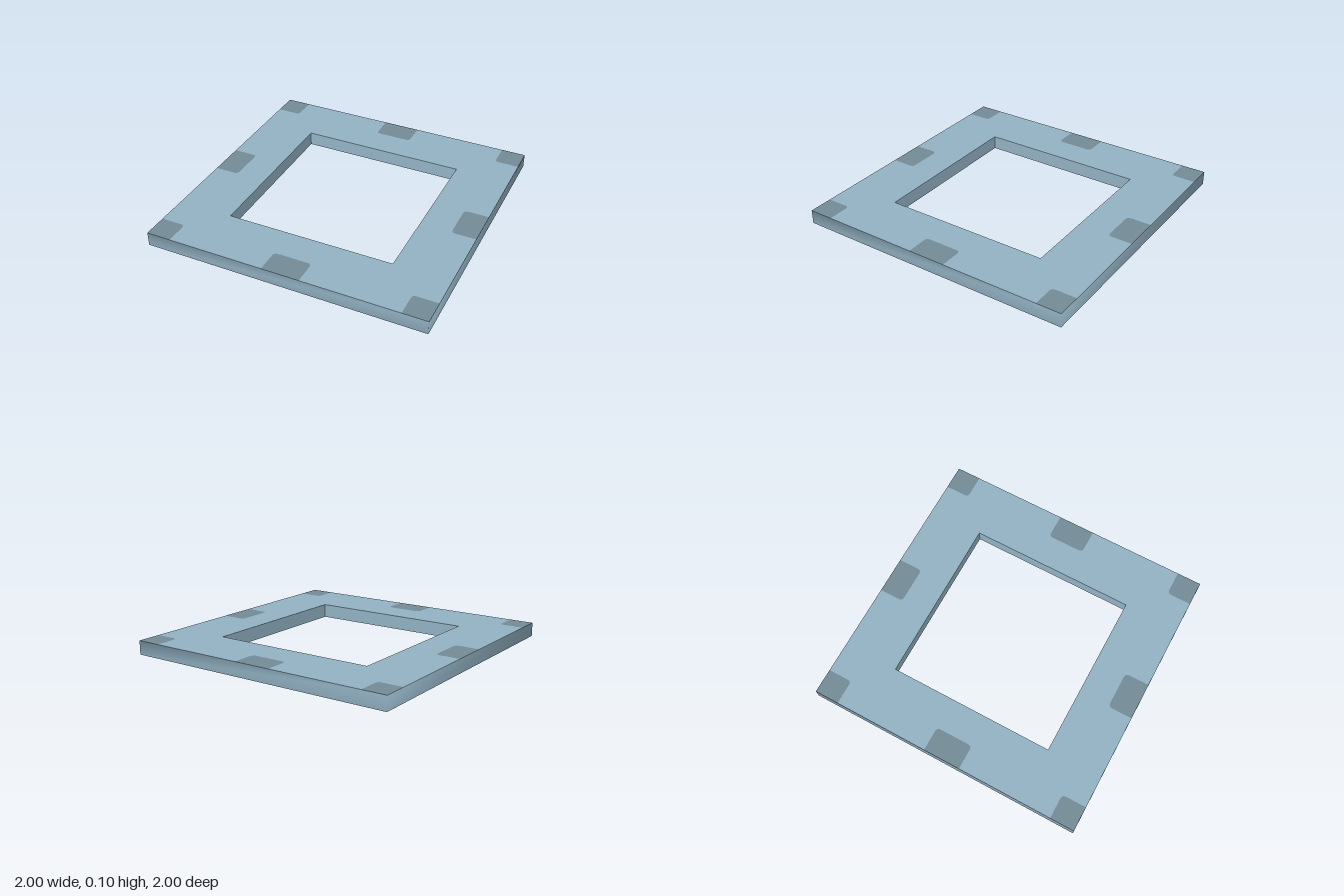
import * as THREE from 'three';

const H = 0.1;        // height of the frame
const OUT = 1;        // half width of the outer edge
const IN = 0.6;       // half width of the opening
const DEPTH = 0.176;  // how far the pads reach in from the edge
const HALF = 0.135;   // half length of the middle pads
const R = 0.03;       // rounding of the pad corners

const mat = (name, color) =>
  new THREE.MeshStandardMaterial({ name, color, side: THREE.DoubleSide });

// Square skirt of four upright walls, open at top and bottom
function skirt(corners, smooth) {
  const pos = [], index = [];
  for (const y of [0, H]) for (const [x, z] of corners) pos.push(x, y, z);
  for (let i = 0; i < 4; i++) {
    const j = (i + 1) % 4;
    index.push(i, j, 4 + j, i, 4 + j, 4 + i);
  }
  let geo = new THREE.BufferGeometry();
  geo.setAttribute('position', new THREE.Float32BufferAttribute(pos, 3));
  geo.setIndex(index);
  if (!smooth) geo = geo.toNonIndexed();
  geo.computeVertexNormals();
  return geo;
}

// Flat sheet lying at the top of the frame
const sheet = (shape) =>
  new THREE.ShapeGeometry(shape, 6).rotateX(-Math.PI / 2).translate(0, H, 0);

// Outline of a pad cut into the edge, with rounded inner corners
function middleNotch(to, curve) {
  const e = -OUT, t = -OUT + DEPTH;
  to(-HALF, e);
  to(-HALF, t - R);
  curve(-HALF, t, -HALF + R, t);
  to(HALF - R, t);
  curve(HALF, t, HALF, t - R);
  to(HALF, e);
}

function cornerNotch(to, curve) {
  const c = OUT - DEPTH;
  to(c, -OUT);
  to(c, -c - R);
  curve(c, -c, c + R, -c);
  to(OUT, -c);
}

// Pen that draws on a shape turned by k quarter turns
function pen(shape, k) {
  const turn = (x, y) => {
    for (let i = 0; i < k; i++) [x, y] = [-y, x];
    return [x, y];
  };
  let started = shape.curves.length > 0;
  return [
    (x, y) => {
      if (started) shape.lineTo(...turn(x, y));
      else shape.moveTo(...turn(x, y));
      started = true;
    },
    (cx, cy, x, y) => shape.quadraticCurveTo(...turn(cx, cy), ...turn(x, y)),
  ];
}

export function createModel() {
  const group = new THREE.Group();
  group.name = 'squareFrame';
  const blue = mat('frameBlue', 0x94b4c6);
  const grey = mat('padGrey', 0x748c98);
  const add = (name, geo, material) => {
    const mesh = new THREE.Mesh(geo, material);
    mesh.name = name;
    group.add(mesh);
  };

  // Top sheet with the pads and the square opening left out
  const top = new THREE.Shape();
  for (let k = 0; k < 4; k++) {
    const p = pen(top, k);
    middleNotch(...p);
    cornerNotch(...p);
  }
  top.closePath();
  top.holes.push(new THREE.Path([[-IN, -IN], [-IN, IN], [IN, IN], [IN, -IN]]
    .map(([x, y]) => new THREE.Vector2(x, y))));
  add('topSheet', sheet(top), blue);

  // Pads filling the gaps: one mid-side and one corner pad per side
  for (let k = 0; k < 4; k++) {
    const mid = new THREE.Shape();
    middleNotch(...pen(mid, k));
    mid.closePath();
    add('middlePad', sheet(mid), grey);

    const corner = new THREE.Shape();
    const p = pen(corner, k);
    cornerNotch(...p);
    p[0](OUT, -OUT);
    corner.closePath();
    add('cornerPad', sheet(corner), grey);
  }

  // Outer skirt is softly shaded, inner skirt has hard corners
  const ring = (r) => [[-r, r], [r, r], [r, -r], [-r, -r]];
  add('outerSkirt', skirt(ring(OUT), true), blue);
  add('innerSkirt', skirt(ring(IN).reverse(), false), blue);
  return group;
}
